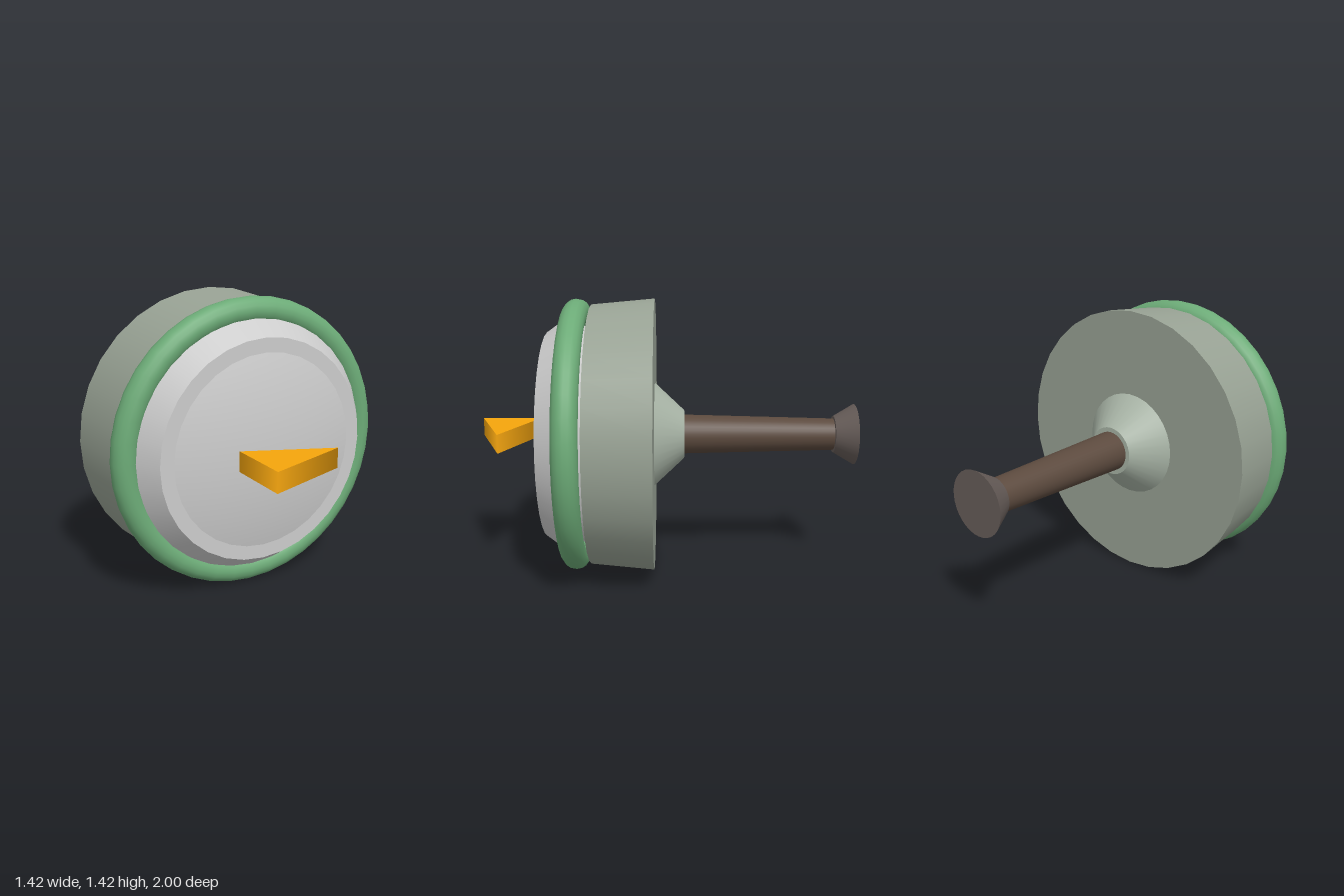
import * as THREE from 'three';

const SIDES = 32;
const AXIS_Y = 0.715;

export function createModel() {
  const model = new THREE.Group();

  function add(name, geometry, color) {
    const mesh = new THREE.Mesh(geometry, new THREE.MeshStandardMaterial({ color }));
    mesh.name = name;
    mesh.position.y = AXIS_Y;
    model.add(mesh);
    return mesh;
  }

  // Tapered round section along z, from the back radius to the front radius
  function frustum(name, zBack, rBack, zFront, rFront, color) {
    const geometry = new THREE.CylinderGeometry(rFront, rBack, zFront - zBack, SIDES);
    geometry.rotateX(Math.PI / 2).translate(0, 0, (zBack + zFront) / 2);
    return add(name, geometry, color);
  }

  // Main body and the rear stem
  frustum('drum', 0.05, 0.71, 0.375, 0.68, 0x98a294);
  frustum('collar', -0.105, 0.127, 0.05, 0.272, 0xa8b4a6);
  frustum('stem', -0.89, 0.083, -0.105, 0.103, 0x5c4a3e);
  frustum('endKnob', -1, 0.16, -0.892, 0.096, 0x665c58);

  // Face plate with bevels on both sides, its rim held inside the ring
  frustum('faceBackBevel', 0.37, 0.535, 0.49, 0.62, 0xdddbd9);
  frustum('faceFrontBevel', 0.49, 0.62, 0.605, 0.538, 0xdddbd9);

  // Shallow dome on the face
  const dome = [];
  const domeRadius = 2;
  for (let i = 0; i <= 10; i++) {
    const r = 0.5 * (1 - i / 10);
    dome.push(new THREE.Vector2(r, 0.661 - domeRadius + Math.sqrt(domeRadius ** 2 - r * r)));
  }
  add('faceDome', new THREE.LatheGeometry(dome, SIDES).rotateX(Math.PI / 2), 0xdddbd9);

  // Ring around the face
  const ring = new THREE.TorusGeometry(0.645, 0.064, 16, 40);
  add('ring', ring.translate(0, 0, 0.452), 0x6cab77);

  // Three-sided pointer standing in front of the face
  const pointer = new THREE.CylinderGeometry(0.283, 0.283, 0.097, 3, 1, false, Math.PI / 2);
  pointer.scale(1, 1, 0.647).translate(-0.038, 0, 0.838);
  add('pointer', pointer, 0xf5a50c);

  return model;
}
